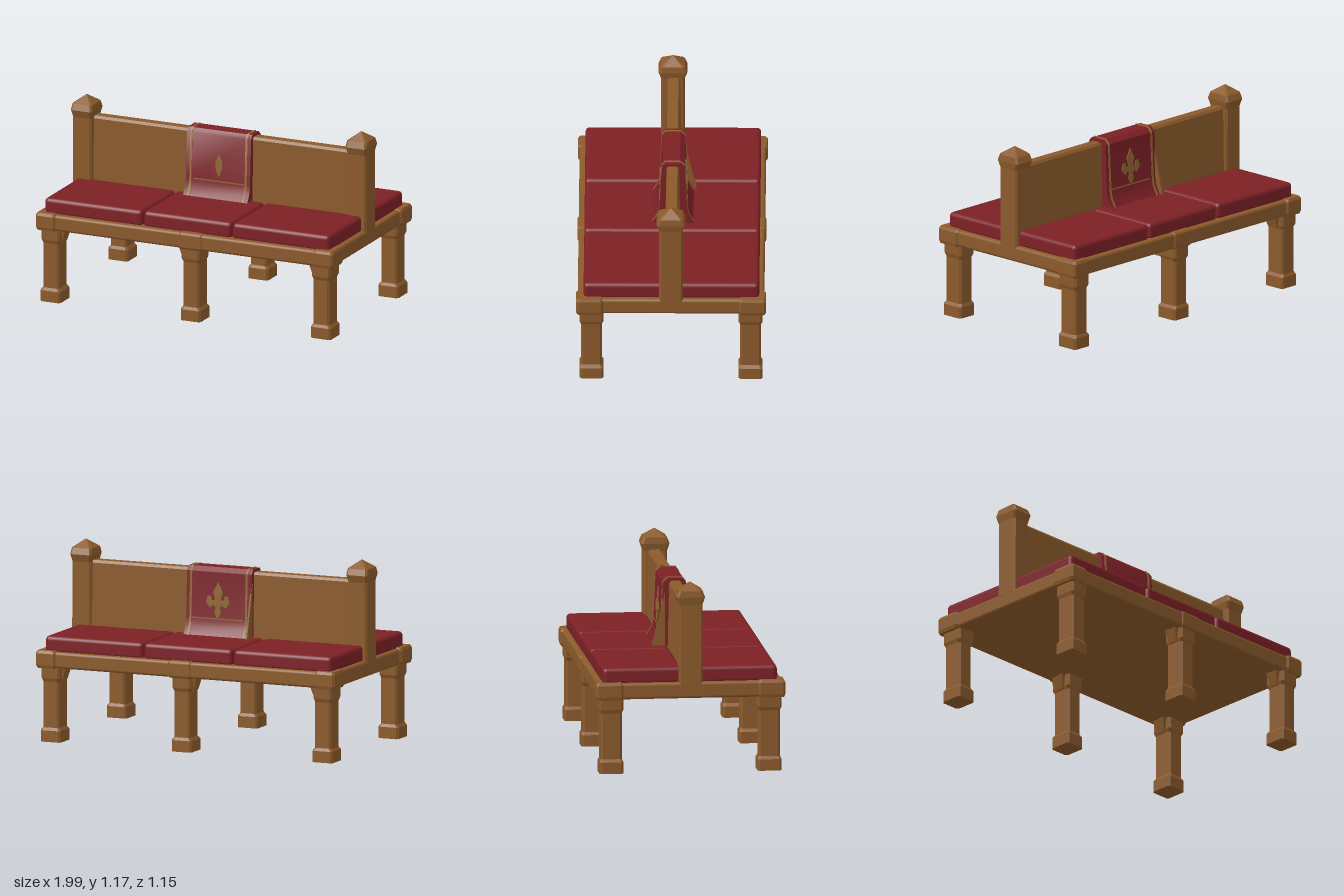
import * as THREE from 'three';
import { toCreasedNormals } from 'three/addons/utils/BufferGeometryUtils.js';
import { RoundedBoxGeometry } from 'three/addons/geometries/RoundedBoxGeometry.js';

const material = (name, color) => Object.assign(new THREE.MeshStandardMaterial({ color }), { name });

// Stack of chamfered rectangles [y, halfX, halfZ, shiftX], faceted
function loft(sections, chamfer = 0.012) {
  const pos = [], idx = [], n = 8;
  for (const [y, hx, hz, sx = 0] of sections) {
    const c = Math.min(chamfer, hx * 0.5, hz * 0.5);
    for (const [x, z] of [[hx, hz - c], [hx, c - hz], [hx - c, -hz], [c - hx, -hz],
      [-hx, c - hz], [-hx, hz - c], [c - hx, hz], [hx - c, hz]]) pos.push(x + sx, y, z);
  }
  const top = (sections.length - 1) * n;
  for (let i = 0; i < top; i += n) {
    for (let k = 0; k < n; k++) {
      const a = i + k, b = i + (k + 1) % n;
      idx.push(a, b, b + n, a, b + n, a + n);
    }
  }
  for (let k = 1; k < n - 1; k++) idx.push(0, k + 1, k, top, top + k, top + k + 1);
  const g = new THREE.BufferGeometry();
  g.setAttribute('position', new THREE.Float32BufferAttribute(pos, 3));
  g.setIndex(idx);
  const flat = g.toNonIndexed();
  flat.computeVertexNormals();
  return flat;
}

// Extrudes a (z, y) outline across x, from x0 to x1
function across(points, x0, x1) {
  const shape = new THREE.Shape(points.map(([z, y]) => new THREE.Vector2(z, y)));
  const g = new THREE.ExtrudeGeometry(shape, { depth: x1 - x0, bevelEnabled: false });
  g.rotateY(-Math.PI / 2).translate(x1, 0, 0);
  return toCreasedNormals(g, 0.7);
}

export function createModel() {
  const model = new THREE.Group();
  model.name = 'doubleBench';
  const wood = material('wood', 0x8b5a2b);
  const cloth = material('redCloth', 0x7c2025);
  const trim = material('goldTrim', 0x8f6733);

  const add = (name, geometry, mat, x = 0, y = 0, z = 0, parent = model) => {
    const mesh = new THREE.Mesh(geometry, mat);
    mesh.name = name;
    mesh.position.set(x, y, z);
    parent.add(mesh);
    return mesh;
  };

  // Seat frame: deck, rails, corner blocks and mid-rail swellings
  add('seatDeck', new THREE.BoxGeometry(1.92, 0.085, 1.08), wood, 0, 0.505, 0);
  const longRail = new RoundedBoxGeometry(1.94, 0.1, 0.1, 2, 0.018);
  const endRail = new RoundedBoxGeometry(0.09, 0.1, 1.08, 2, 0.018);
  const corner = loft([[0.455, 0.06, 0.076], [0.475, 0.066, 0.082], [0.545, 0.066, 0.082], [0.562, 0.058, 0.074]]);
  const swelling = new RoundedBoxGeometry(0.16, 0.108, 0.1, 2, 0.02);
  for (const s of [-1, 1]) {
    add('longRail', longRail, wood, 0, 0.507, s * 0.516);
    add('endRail', endRail, wood, s * 0.938, 0.507, 0);
    add('railSwelling', swelling, wood, 0.04, 0.507, s * 0.523);
    for (const t of [-1, 1]) add('cornerBlock', corner, wood, s * 0.93, 0, t * 0.495);
  }

  // Six legs with feet and collars; braces lean inward along the rail
  const leg = loft([[0, 0.067, 0.073], [0.07, 0.067, 0.073], [0.088, 0.054, 0.064],
    [0.37, 0.054, 0.064], [0.392, 0.062, 0.073], [0.47, 0.064, 0.074]]);
  const brace = loft([[0.375, 0.004, 0.03], [0.46, 0.03, 0.045]], 0.004);
  for (const [x, side] of [[-0.906, 1], [0.033, -1], [0.906, -1]]) {
    for (const s of [-1, 1]) {
      add('leg', leg, wood, x, 0, s * 0.483);
      add('legBrace', brace, wood, x + side * 0.063, 0, s * 0.483);
    }
  }

  // Seat cushions, three on each side of the backrest
  for (const [x, w] of [[-0.63, 0.655], [0, 0.59], [0.626, 0.652]]) {
    add('frontCushion', new RoundedBoxGeometry(w, 0.105, 0.495, 3, 0.026), cloth, x, 0.596, 0.283);
    add('backCushion', new RoundedBoxGeometry(w, 0.105, 0.485, 3, 0.026), cloth, x, 0.596, -0.293);
  }

  // Backrest panel and end posts with pointed caps
  add('backrest', loft([[0.54, 0.9, 0.048], [0.8, 0.9, 0.043], [1.03, 0.9, 0.038], [1.046, 0.9, 0.028]]), wood, 0, 0, -0.006);
  const post = loft([[0.54, 0.065, 0.072], [1.035, 0.063, 0.072], [1.08, 0.071, 0.087],
    [1.118, 0.066, 0.072], [1.166, 0.003, 0.003]]);
  for (const s of [-1, 1]) add('endPost', post, wood, s * 0.92, 0, 0);

  // Cloth draped over the middle of the backrest
  const drape = [[0.115, 0.648], [0.085, 0.7], [0.076, 0.75], [0.06, 1.035], [0.04, 1.062],
    [-0.05, 1.062], [-0.079, 1.035], [-0.093, 0.75], [-0.102, 0.7], [-0.132, 0.648]];
  const band = (grow) => [...drape.map(([z, y]) => [z + Math.sign(z) * grow, y + (y > 1.03 ? grow : 0)]),
    [-0.03, 0.648], [0.03, 0.648]];
  add('drapedCloth', across(band(0), -0.22, 0.21), cloth);
  for (const s of [-1, 1]) add('drapeTrim', across(band(0.003), s * 0.185 - 0.011, s * 0.185 + 0.003), trim);
  // Stiff fold at the back edge of the cloth
  add('drapeFold', across([[-0.07, 0.98], [-0.07, 0.648], [-0.15, 0.648]], -0.222, -0.212), wood);

  // Flat ornaments and lower hems on both faces of the cloth
  const ornament = (pairs) => {
    const half = pairs.map(([x, y]) => new THREE.Vector2(x, y));
    const other = pairs.slice(1, -1).reverse().map(([x, y]) => new THREE.Vector2(-x, y));
    return new THREE.ExtrudeGeometry(new THREE.Shape([...half, ...other]), { depth: 0.006, bevelEnabled: false });
  };
  const bud = ornament([[0, -0.075], [0.012, -0.045], [0.022, -0.02], [0.022, 0.025], [0.01, 0.05], [0, 0.07]]);
  const blossom = ornament([[0, -0.11], [0.022, -0.075], [0.014, -0.04], [0.03, -0.025], [0.05, -0.045],
    [0.078, -0.01], [0.068, 0.03], [0.045, 0.03], [0.04, 0.005], [0.018, 0.005], [0.032, 0.055], [0, 0.115]]);
  const hem = new THREE.BoxGeometry(0.34, 0.008, 0.006);
  const front = new THREE.Group(), back = new THREE.Group();
  front.name = 'frontOrnament';
  back.name = 'backOrnament';
  front.position.set(0, 0.85, 0.0685);
  front.rotation.x = -0.056;
  back.position.set(0, 0.86, -0.0858);
  back.rotation.set(0.049, Math.PI, 0);
  add('bud', bud, trim, 0, 0, 0, front);
  add('hem', hem, trim, 0, -0.1, 0.001, front);
  add('blossom', blossom, trim, 0, 0, 0, back);
  add('hem', hem, trim, 0, -0.11, 0.001, back);
  back.rotation.set(-0.049, Math.PI, 0, 'YXZ');
  model.add(front, back);
  return model;
}
